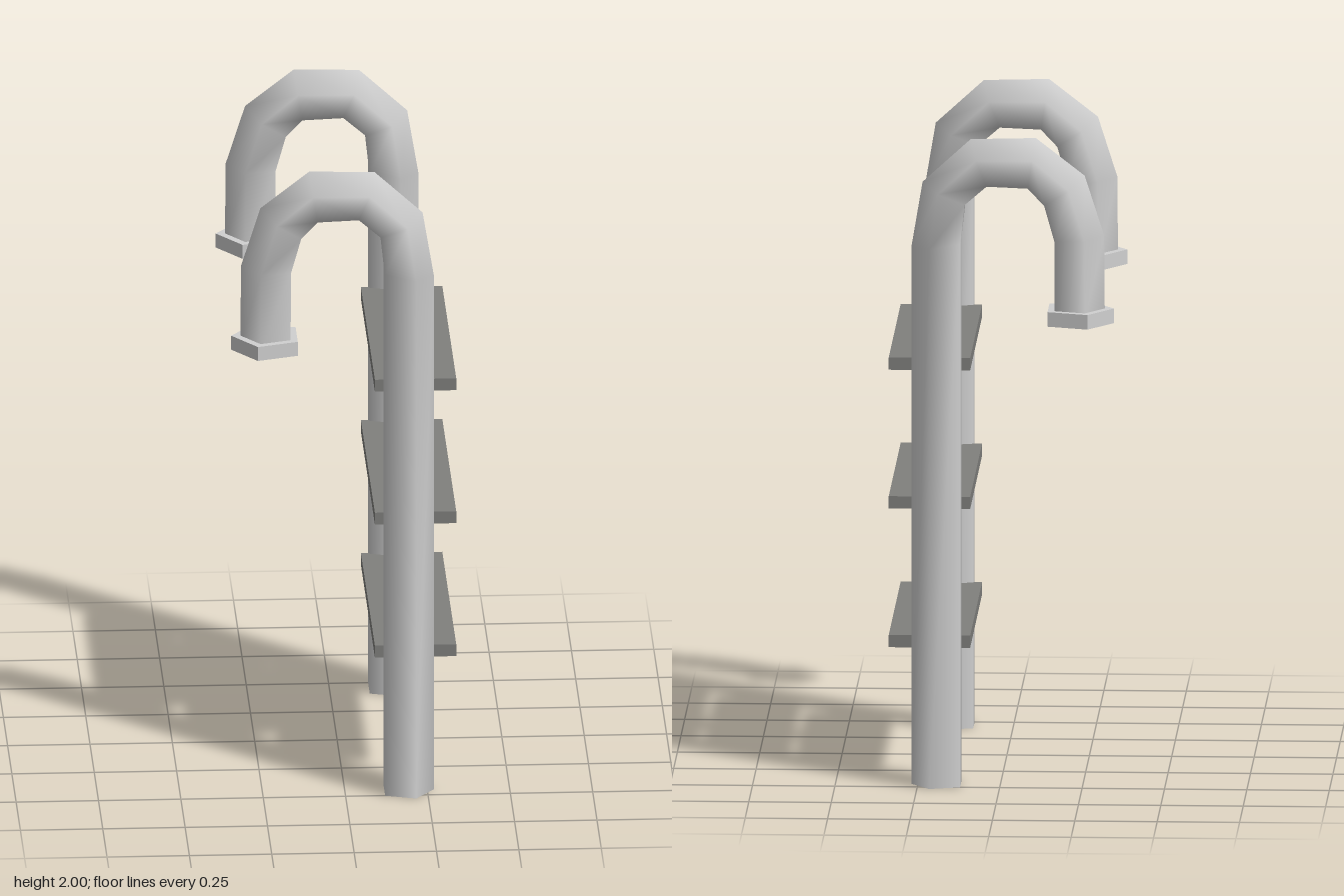
import * as THREE from 'three';

const SIDES = 5;
const RADIUS = 0.083;

// Outer ridge and inner flat of the rail, from the foot over the arch to the hook end: [xOut, yOut, xIn, yIn]
const RAIL = [
  [0.27, 0, 0.12, 0],
  [0.27, 1.66, 0.12, 1.68],
  [0.236, 1.862, 0.107, 1.80],
  [0.09, 1.995, 0.04, 1.858],
  [-0.108, 2.0, -0.085, 1.853],
  [-0.256, 1.885, -0.135, 1.80],
  [-0.315, 1.70, -0.166, 1.69],
  [-0.317, 1.45, -0.167, 1.45],
];

// Pentagonal tube swept through the rail sections, smooth and open at both ends
function railGeometry() {
  const positions = [], index = [];
  for (const [xo, yo, xi, yi] of RAIL) {
    const cx = xo + (xi - xo) * 0.553, cy = yo + (yi - yo) * 0.553;
    for (let k = 0; k < SIDES; k++) {
      const a = (k / SIDES) * Math.PI * 2, c = Math.cos(a);
      positions.push(cx + (xo - cx) * c, cy + (yo - cy) * c, RADIUS * Math.sin(a));
    }
  }
  for (let i = 0; i < RAIL.length - 1; i++) {
    for (let k = 0; k < SIDES; k++) {
      const a = i * SIDES + k, b = i * SIDES + (k + 1) % SIDES;
      const c = a + SIDES, d = b + SIDES;
      index.push(a, c, b, b, c, d);
    }
  }
  const geometry = new THREE.BufferGeometry();
  geometry.setAttribute('position', new THREE.Float32BufferAttribute(positions, 3));
  geometry.setIndex(index);
  geometry.computeVertexNormals();
  return geometry;
}

// Collar: outer wall and top lip, open below
function collarGeometry() {
  const profile = [[0.11, 0], [0.11, 0.045], [0.08, 0.045]].map(([r, y]) => new THREE.Vector2(r, y));
  const geometry = new THREE.LatheGeometry(profile, SIDES, -Math.PI / 2).toNonIndexed();
  geometry.computeVertexNormals();
  return geometry;
}

// Tread: a shallow tray turned upside down, with no bottom face
function treadGeometry() {
  const geometry = new THREE.BoxGeometry(0.247, 0.038, 0.82);
  const index = Array.from(geometry.index.array);
  index.splice(18, 6);
  geometry.setIndex(index);
  geometry.clearGroups();
  return geometry;
}

export function createModel() {
  const metal = new THREE.MeshStandardMaterial({ color: 0xd0d0d0, side: THREE.DoubleSide });
  metal.name = 'light metal';
  const grip = new THREE.MeshStandardMaterial({ color: 0x80807d, side: THREE.DoubleSide });
  grip.name = 'dark tread';

  const model = new THREE.Group();
  model.name = 'poolLadder';
  const add = (name, geometry, material, x, y, z) => {
    const mesh = new THREE.Mesh(geometry, material);
    mesh.name = name;
    mesh.position.set(x, y, z);
    model.add(mesh);
  };

  // Handrails with their collars
  const rail = railGeometry(), collar = collarGeometry();
  for (const [label, z] of [['front', 0.4525], ['back', -0.4525]]) {
    add(label + 'Rail', rail, metal, 0, 0, z);
    add(label + 'Collar', collar, metal, -0.235, 1.43, z);
  }

  // Treads
  const tread = treadGeometry();
  for (let i = 0; i < 3; i++) add('tread' + (i + 1), tread, grip, 0.217, 0.432 + i * 0.429, 0);

  return model;
}
